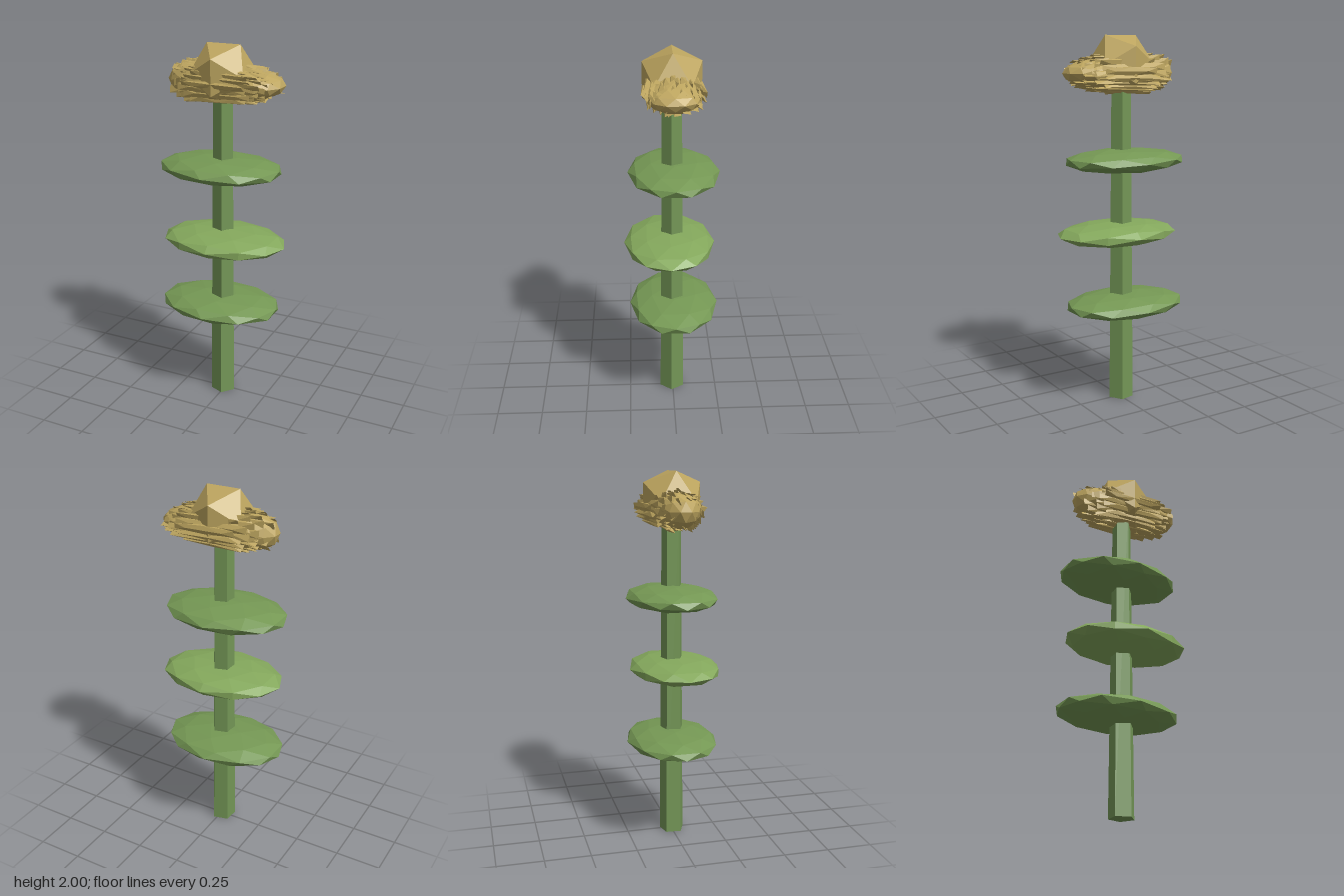
import * as THREE from 'three';
import { mergeGeometries } from 'three/addons/utils/BufferGeometryUtils.js';

const paint = (color) => new THREE.MeshStandardMaterial({ color, flatShading: true });
const stemGreen = paint(0x739656);
const leafGreen = paint(0x759854);
const brightGreen = paint(0x84a85c);
const gold = paint(0xbda55f);

const CX = -0.01, CZ = 0.004; // axis of the plant

function add(parent, name, geometry, material, x, y, z) {
  const mesh = new THREE.Mesh(geometry, material);
  mesh.name = name;
  mesh.position.set(x, y, z);
  parent.add(mesh);
  return mesh;
}

// Faceted ellipsoid, optionally turned before it is squashed
function ellipsoid(rx, ry, rz, detail = 1, turn = 0) {
  return new THREE.IcosahedronGeometry(1, detail).rotateZ(turn).scale(rx, ry, rz);
}

function seeded(seed) {
  return () => {
    seed = (seed * 16807) % 2147483647;
    return seed / 2147483647;
  };
}

// Ragged head: a core with slender pointed petals packed around it
function petalCluster() {
  const random = seeded(11);
  const parts = [ellipsoid(0.325, 0.092, 0.145, 2)];
  const count = 60;
  for (let i = 0; i < count; i++) {
    const k = 0.15 + 0.72 * Math.sqrt(i / count);
    const a = i * 2.39996;
    const half = 0.365 * Math.sqrt(1 - k * k) * (0.92 + 0.1 * random());
    const petal = ellipsoid(half, 0.016, 0.026, 0);
    petal.rotateX(-a + random());
    petal.translate((random() - 0.5) * 0.05, 0.105 * k * Math.cos(a), 0.165 * k * Math.sin(a));
    parts.push(petal);
  }
  const geometry = mergeGeometries(parts);

  // Blunt the left-hand end upward and spread the other end sideways
  const p = geometry.attributes.position;
  for (let i = 0; i < p.count; i++) {
    const x = THREE.MathUtils.clamp(p.getX(i), -0.345, 0.365);
    const grow = (x / 0.35) ** 2;
    const y = p.getY(i) * (x < 0 ? 1 + 0.8 * grow : 1);
    const z = p.getZ(i) * (x > 0 ? 1 + 0.6 * grow : 1);
    p.setXYZ(i, x, y, z);
  }
  geometry.computeVertexNormals();
  return geometry;
}

export function createModel() {
  const model = new THREE.Group();
  model.name = 'flowerPlant';

  // Tapered five-sided stem
  const stem = new THREE.CylinderGeometry(0.054, 0.07, 1.8, 5, 1, false, 0.244);
  add(model, 'stem', stem, stemGreen, CX, 0.9, CZ);

  // Three flat leaf discs
  const leaves = [
    { y: 0.545, x: -0.032, z: -0.006, turn: 0.277, material: leafGreen },
    { y: 0.943, x: 0.003, z: 0.02, turn: 0, material: brightGreen },
    { y: 1.34, x: -0.032, z: -0.006, turn: 0.277, material: leafGreen },
  ];
  leaves.forEach((leaf) => {
    const geometry = ellipsoid(0.35, 0.066, 0.247, 1, leaf.turn);
    add(model, 'leafDisc', geometry, leaf.material, leaf.x, leaf.y, leaf.z);
  });

  // Flower head: petals and the faceted bud
  const flower = new THREE.Group();
  flower.name = 'flower';
  model.add(flower);
  add(flower, 'petals', petalCluster(), gold, 0, 1.803, 0);
  add(flower, 'bud', new THREE.IcosahedronGeometry(0.18, 0), gold, CX, 1.847, CZ);

  return model;
}
